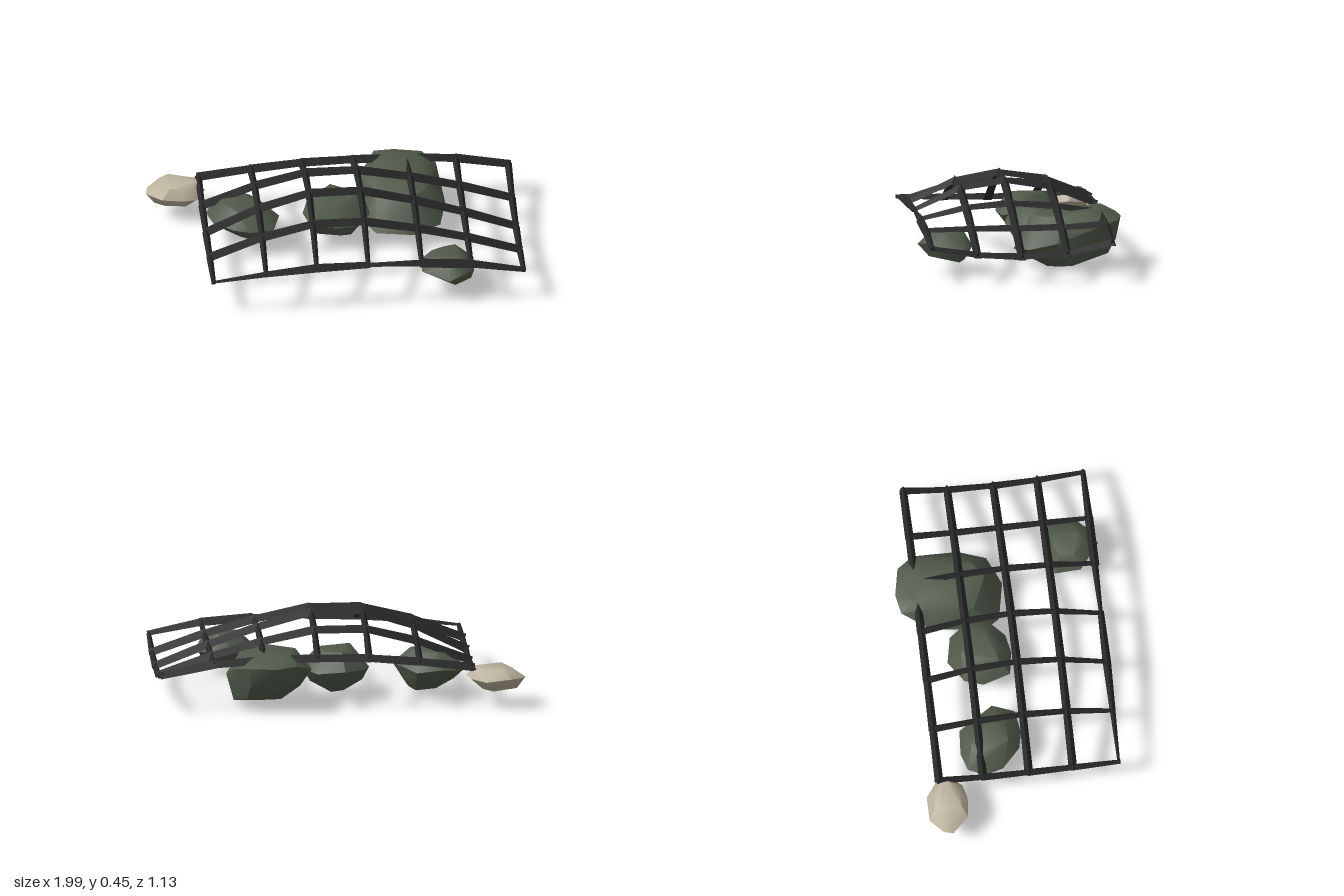
import * as THREE from 'three';
import { ConvexGeometry } from 'three/addons/geometries/ConvexGeometry.js';
import { mergeVertices, toCreasedNormals } from 'three/addons/utils/BufferGeometryUtils.js';

const ropeMat = new THREE.MeshStandardMaterial({ name: 'charcoal rope', color: 0x292929 });
const stoneMat = new THREE.MeshStandardMaterial({ name: 'mossy green', color: 0x50594a });
const paleMat = new THREE.MeshStandardMaterial({ name: 'pale stone', color: 0xbab19c });

// Rounded stone: a plan outline [x, z] at mid height, with smaller rings above and below.
// Each ring has a height y, a scale k, and optionally a slope along z and a shift in x and z.
function rock(name, mat, outline, rings) {
  const n = outline.length;
  const cx = outline.reduce((s, p) => s + p[0], 0) / n;
  const cz = outline.reduce((s, p) => s + p[1], 0) / n;
  const pts = [];
  for (const { y, k, slope = 0, dx = 0, dz = 0 } of rings) {
    outline.forEach(([x, z], i) => {
      const s = k * (k < 1 && i % 2 ? 0.88 : 1);
      const oz = (z - cz) * s;
      pts.push(new THREE.Vector3(cx + dx + (x - cx) * s, y + oz * slope + (i % 3 - 1) * 0.008, cz + dz + oz));
    });
  }
  let geo = new ConvexGeometry(pts);
  geo.deleteAttribute('normal');
  geo = toCreasedNormals(mergeVertices(geo, 1e-4), 0.75);
  const mesh = new THREE.Mesh(geo, mat);
  mesh.name = name;
  return mesh;
}

// Three-sided strand between two knots, with one ridge upward
function strand(name, a, b, ra, rb) {
  const dir = b.clone().sub(a);
  const geo = new THREE.CylinderGeometry(rb, ra, dir.length() + 0.02, 3).toNonIndexed();
  geo.computeVertexNormals();
  const mesh = new THREE.Mesh(geo, ropeMat);
  dir.normalize();
  const side = new THREE.Vector3().crossVectors(dir, new THREE.Vector3(0, 1, 0)).normalize();
  const up = new THREE.Vector3().crossVectors(side, dir);
  mesh.quaternion.setFromRotationMatrix(new THREE.Matrix4().makeBasis(side, dir, up));
  mesh.position.copy(a).add(b).multiplyScalar(0.5);
  mesh.name = name;
  return mesh;
}

export function createModel() {
  const model = new THREE.Group();
  model.name = 'nettedStones';

  // Net draped in an arch: heights along the edges and along the middle
  const xs = [-0.71, -0.425, -0.15, 0.13, 0.42, 0.69, 0.975];
  const zs = [-0.455, -0.215, 0.035, 0.275, 0.525];
  const edge = [0.22, 0.255, 0.28, 0.285, 0.28, 0.26, 0.205];
  const mid = [0.21, 0.35, 0.435, 0.435, 0.355, 0.262, 0.15];
  const knot = (i, j) => {
    const v = (j - 2) / 2;
    const e = edge[i] + (j === 0 ? 0.015 : 0);
    return new THREE.Vector3(xs[i], e + (mid[i] - e) * (1 - v * v), zs[j]);
  };
  // Start and end radii of the frayed front strands
  const frontRadii = [[0.008, 0.018], [0.018, 0.027], [0.027, 0.02], [0.012, 0.022], [0.028, 0.027], [0.025, 0.016]];
  const net = new THREE.Group();
  net.name = 'net';
  for (let j = 0; j < 5; j++) {
    for (let i = 0; i < 7; i++) {
      if (i < 6) {
        const [ra, rb] = j === 4 ? frontRadii[i] : [0.027, 0.024];
        net.add(strand('lengthStrand', knot(i, j), knot(i + 1, j), ra, rb));
      }
      if (j < 4) {
        const [ra, rb] = j === 3 ? [0.021, 0.014] : [0.023, 0.018];
        net.add(strand('crossStrand', knot(i, j), knot(i, j + 1), ra, rb));
      }
    }
  }
  model.add(net);

  // Stones held under the net
  model.add(rock('leftStone', stoneMat, [
    [-0.69, -0.2], [-0.65, -0.29], [-0.56, -0.32], [-0.42, -0.31], [-0.36, -0.2],
    [-0.3, -0.12], [-0.34, 0], [-0.47, 0.02], [-0.56, 0], [-0.66, -0.1]],
  [{ y: 0.058, k: 0.42, dx: 0.05 }, { y: 0.115, k: 0.76, dx: 0.02 }, { y: 0.178, k: 1 }, { y: 0.262, k: 0.62 }]));
  model.add(rock('middleStone', stoneMat, [
    [-0.17, -0.15], [-0.14, -0.25], [-0.03, -0.33], [0.12, -0.3], [0.19, -0.2],
    [0.19, -0.09], [0.1, 0], [0, 0.02], [-0.13, 0]],
  [{ y: 0.05, k: 0.25 }, { y: 0.11, k: 0.8 }, { y: 0.18, k: 1 }, { y: 0.275, k: 0.6 }]));
  model.add(rock('largeStone', stoneMat, [
    [0.16, -0.1], [0.16, -0.4], [0.25, -0.55], [0.36, -0.57], [0.51, -0.54],
    [0.58, -0.45], [0.61, -0.2], [0.57, -0.05], [0.42, 0.02], [0.22, -0.02]],
  [{ y: 0.055, k: 0.58, slope: -0.25, dx: 0.06, dz: -0.05 }, { y: 0.12, k: 0.84, slope: -0.24, dx: 0.01, dz: -0.03 },
    { y: 0.195, k: 1, slope: -0.3 }, { y: 0.305, k: 0.68, slope: -0.09 }]));
  model.add(rock('frontStone', stoneMat, [
    [0.43, 0.31], [0.53, 0.26], [0.64, 0.27], [0.72, 0.31], [0.71, 0.46],
    [0.65, 0.52], [0.57, 0.56], [0.43, 0.45]],
  [{ y: 0.098, k: 0.65, slope: 0.15, dx: 0.03 }, { y: 0.165, k: 1, slope: 0.08 }, { y: 0.24, k: 0.62, slope: 0.02 }]));

  // Pale stone at the back corner
  model.add(rock('paleStone', paleMat, [
    [-1, -0.41], [-0.99, -0.46], [-0.92, -0.53], [-0.78, -0.53], [-0.7, -0.47],
    [-0.68, -0.4], [-0.73, -0.33], [-0.81, -0.31], [-0.92, -0.32]],
  [{ y: 0.113, k: 0.62, dx: -0.015 }, { y: 0.175, k: 1 }, { y: 0.227, k: 0.68, dx: 0.02 }]));
  return model;
}
